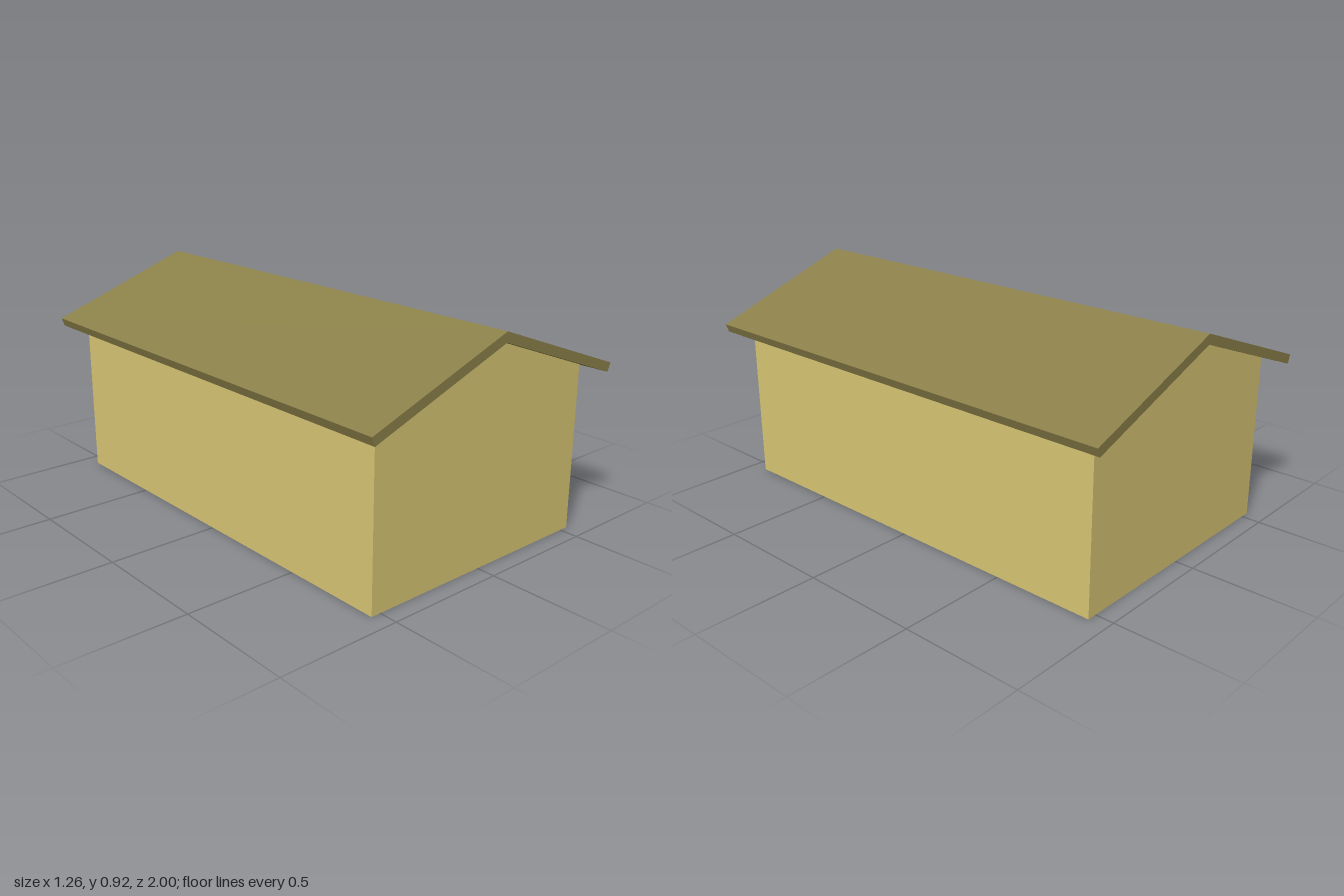
import * as THREE from 'three';

const WIDTH = 1.08, DEPTH = 1.845, EAVE = 0.684, RIDGE = 0.88;

export function createModel() {
  const house = new THREE.Group();
  house.name = 'house';
  const wallMaterial = new THREE.MeshStandardMaterial({ color: 0xd8c674, side: THREE.DoubleSide });
  const roofMaterial = new THREE.MeshStandardMaterial({ color: 0x8b8049 });
  const floorMaterial = new THREE.MeshStandardMaterial({ color: 0x777777, side: THREE.DoubleSide });

  const add = (name, geometry, material) => {
    const mesh = new THREE.Mesh(geometry, material);
    mesh.name = name;
    house.add(mesh);
    return mesh;
  };
  const outline = (points) => new THREE.Shape(points.map(([x, y]) => new THREE.Vector2(x, y)));

  // Thin gable walls, front and back
  const half = WIDTH / 2;
  const gable = new THREE.ShapeGeometry(
    outline([[-half, 0], [half, 0], [half, EAVE], [0, RIDGE], [-half, EAVE]]));
  add('frontWall', gable, wallMaterial).position.z = DEPTH / 2;
  const back = add('backWall', gable, wallMaterial);
  back.position.z = -DEPTH / 2;
  back.rotation.y = Math.PI;

  // Side walls
  for (const [name, side] of [['leftWall', 1], ['rightWall', -1]]) {
    const wall = add(name, new THREE.PlaneGeometry(DEPTH, EAVE), wallMaterial);
    wall.position.set(side * half, EAVE / 2, 0);
    wall.rotation.y = side * Math.PI / 2;
  }

  // Floor set slightly above the bottom edge of the walls
  const floor = add('floor', new THREE.PlaneGeometry(WIDTH, DEPTH), floorMaterial);
  floor.rotation.x = Math.PI / 2;
  floor.position.y = 0.025;

  // Overhanging gable roof with square-cut eaves
  const roof = new THREE.ExtrudeGeometry(
    outline([[0, 0.92], [-0.628, 0.691], [-0.615, 0.656], [0, RIDGE], [0.615, 0.656], [0.628, 0.691]]),
    { depth: 2, bevelEnabled: false });
  roof.translate(0, 0, -1);
  add('roof', roof, roofMaterial);

  return house;
}
